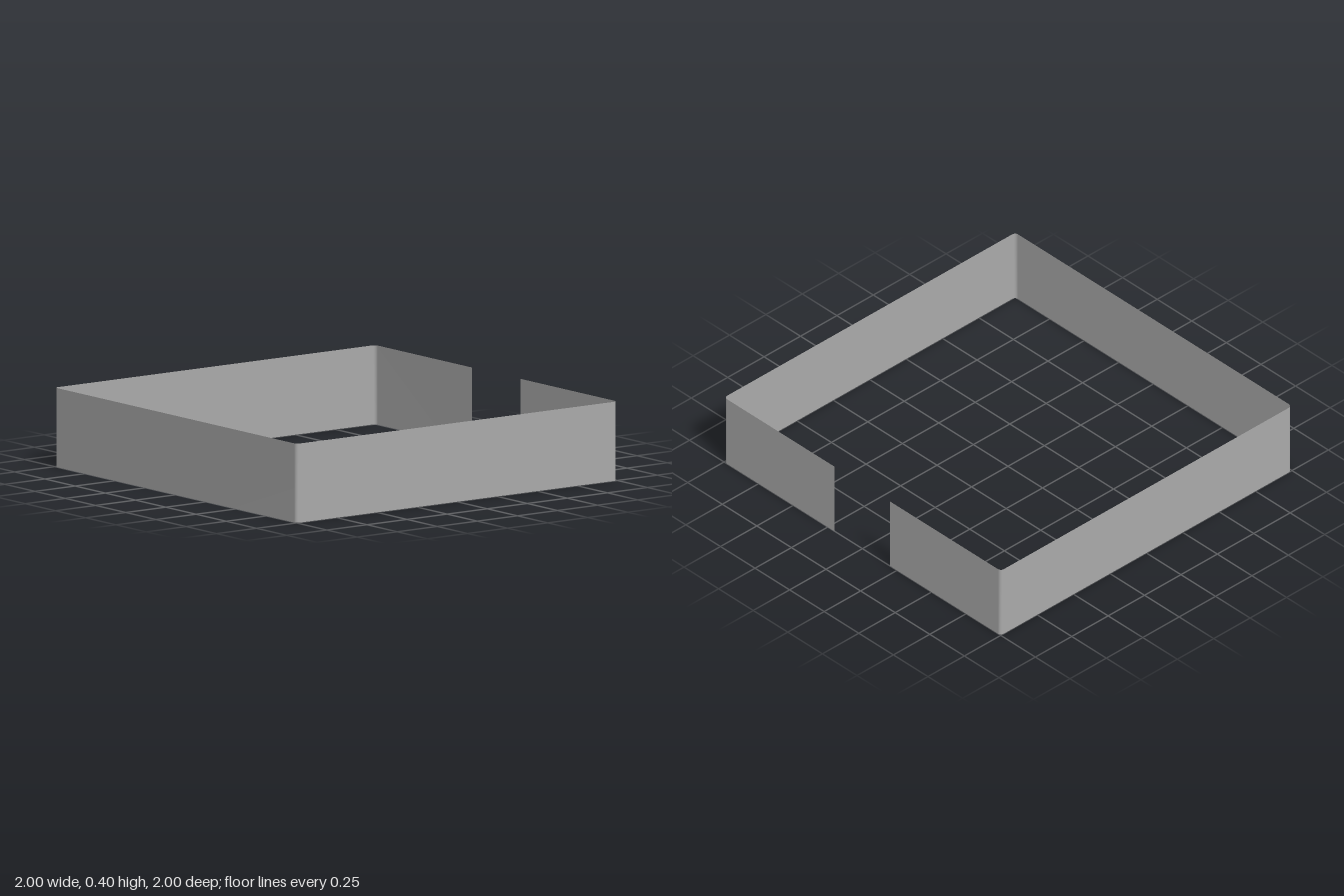
import * as THREE from 'three';

const HALF = 1;       // half side of the square
const HEIGHT = 0.4;
const GAP = 0.2;      // half width of the opening in the back wall
const RADIUS = 0.02;  // corner rounding
const STEPS = 5;      // segments per corner

// Plan outline [x, z], from one side of the back opening round to the other
function outline() {
  const points = [[GAP, -HALF]];
  const corners = [[1, -1], [1, 1], [-1, 1], [-1, -1]];
  corners.forEach(([sx, sz], c) => {
    for (let i = 0; i <= STEPS; i++) {
      const a = (c - 1 + i / STEPS) * Math.PI / 2;
      points.push([
        sx * (HALF - RADIUS) + RADIUS * Math.cos(a),
        sz * (HALF - RADIUS) + RADIUS * Math.sin(a),
      ]);
    }
  });
  points.push([-GAP, -HALF]);
  return points;
}

// Upright sheet standing on the outline, faces outward
function sheet(points, height) {
  const positions = [];
  const index = [];
  points.forEach(([x, z], i) => {
    positions.push(x, 0, z, x, height, z);
    if (i < points.length - 1) {
      const a = i * 2;
      index.push(a, a + 1, a + 2, a + 1, a + 3, a + 2);
    }
  });
  const geometry = new THREE.BufferGeometry();
  geometry.setAttribute('position', new THREE.Float32BufferAttribute(positions, 3));
  geometry.setIndex(index);
  geometry.computeVertexNormals();
  return geometry;
}

export function createModel() {
  const group = new THREE.Group();
  group.name = 'openSquareBand';
  const grey = new THREE.MeshStandardMaterial({ color: 0xaaaaaa, side: THREE.DoubleSide });
  grey.name = 'grey';

  // Thin square wall with rounded corners and an opening at the back
  const wall = new THREE.Mesh(sheet(outline(), HEIGHT), grey);
  wall.name = 'wall';
  group.add(wall);
  return group;
}
